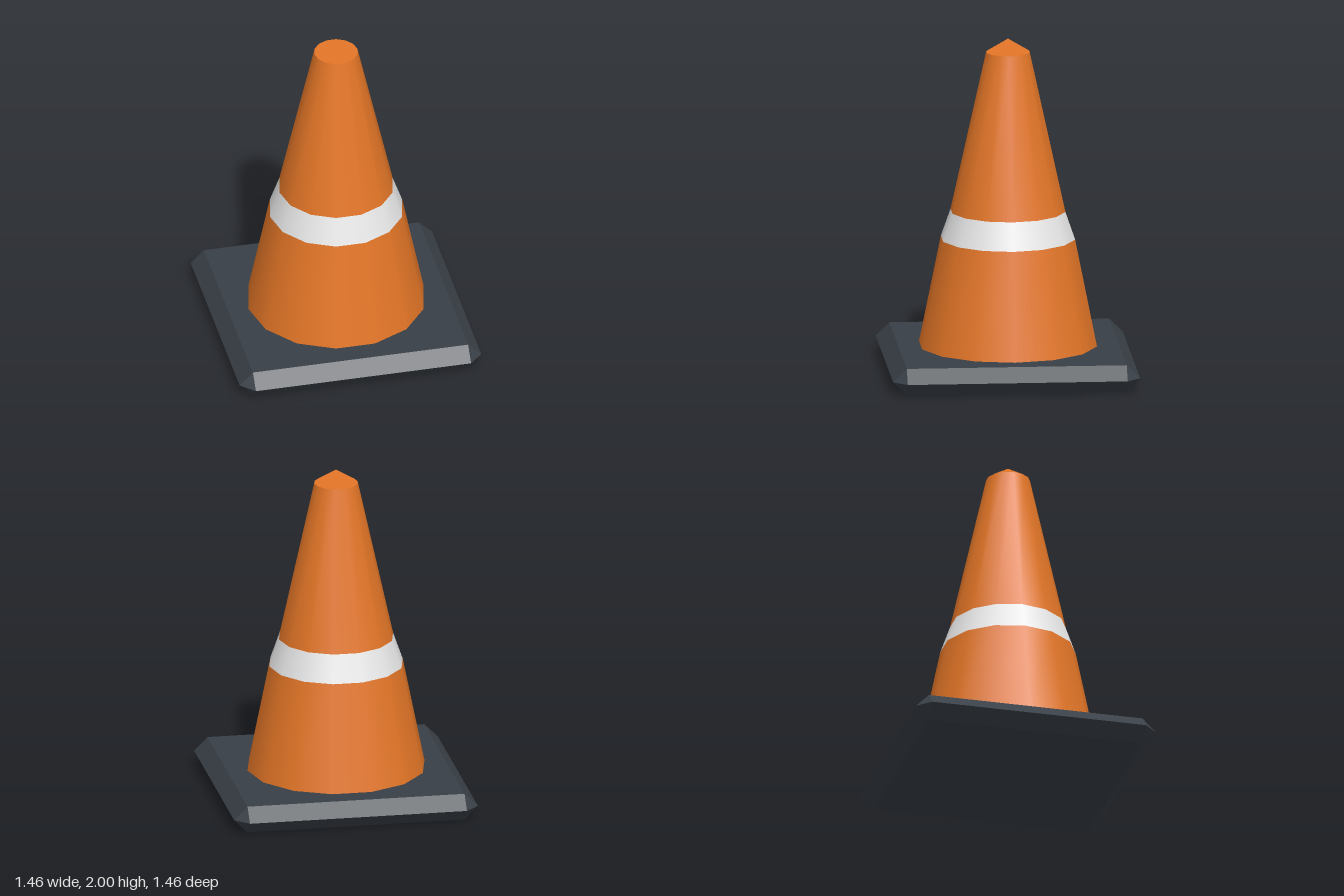
import * as THREE from 'three';
import { ConvexGeometry } from 'three/addons/geometries/ConvexGeometry.js';

const material = (name, color) => {
  const m = new THREE.MeshStandardMaterial({ color });
  m.name = name;
  return m;
};

const SIDES = 14;

export function createModel() {
  const model = new THREE.Group();
  model.name = 'trafficCone';
  const orange = material('orange plastic', 0xe47627);
  const white = material('reflective white', 0xe8e8e8);
  const rubber = material('dark rubber', 0x383f46);

  const add = (name, geometry, mat) => {
    const mesh = new THREE.Mesh(geometry, mat);
    mesh.name = name;
    model.add(mesh);
    return mesh;
  };

  // Square base plate: bevelled on every edge, with clipped corners
  const inner = 0.65, outer = 0.73, height = 0.16;
  const corners = [];
  for (const sx of [-1, 1]) {
    for (const sz of [-1, 1]) {
      corners.push(
        new THREE.Vector3(sx * inner, 0, sz * inner),
        new THREE.Vector3(sx * inner, height, sz * inner),
        new THREE.Vector3(sx * outer, height / 2, sz * inner),
        new THREE.Vector3(sx * inner, height / 2, sz * outer)
      );
    }
  }
  add('base', new ConvexGeometry(corners), rubber);

  // Tapering body in three open sections, with the stripe in the middle
  const section = (name, y0, r0, y1, r1, mat) => {
    const g = new THREE.CylinderGeometry(r1, r0, y1 - y0, SIDES, 1, true, Math.PI / 2);
    add(name, g, mat).position.y = (y0 + y1) / 2;
  };
  section('lowerCone', 0.16, 0.53, 0.8, 0.4, orange);
  section('stripe', 0.8, 0.4, 0.965, 0.342, white);
  section('upperCone', 0.965, 0.342, 1.92, 0.13, orange);

  // Tip: a disc with its centre raised, keeping its upward normals
  const tip = new THREE.CircleGeometry(0.13, SIDES);
  tip.rotateX(-Math.PI / 2);
  tip.attributes.position.setY(0, 0.08);
  add('tip', tip, orange).position.y = 1.92;

  return model;
}
